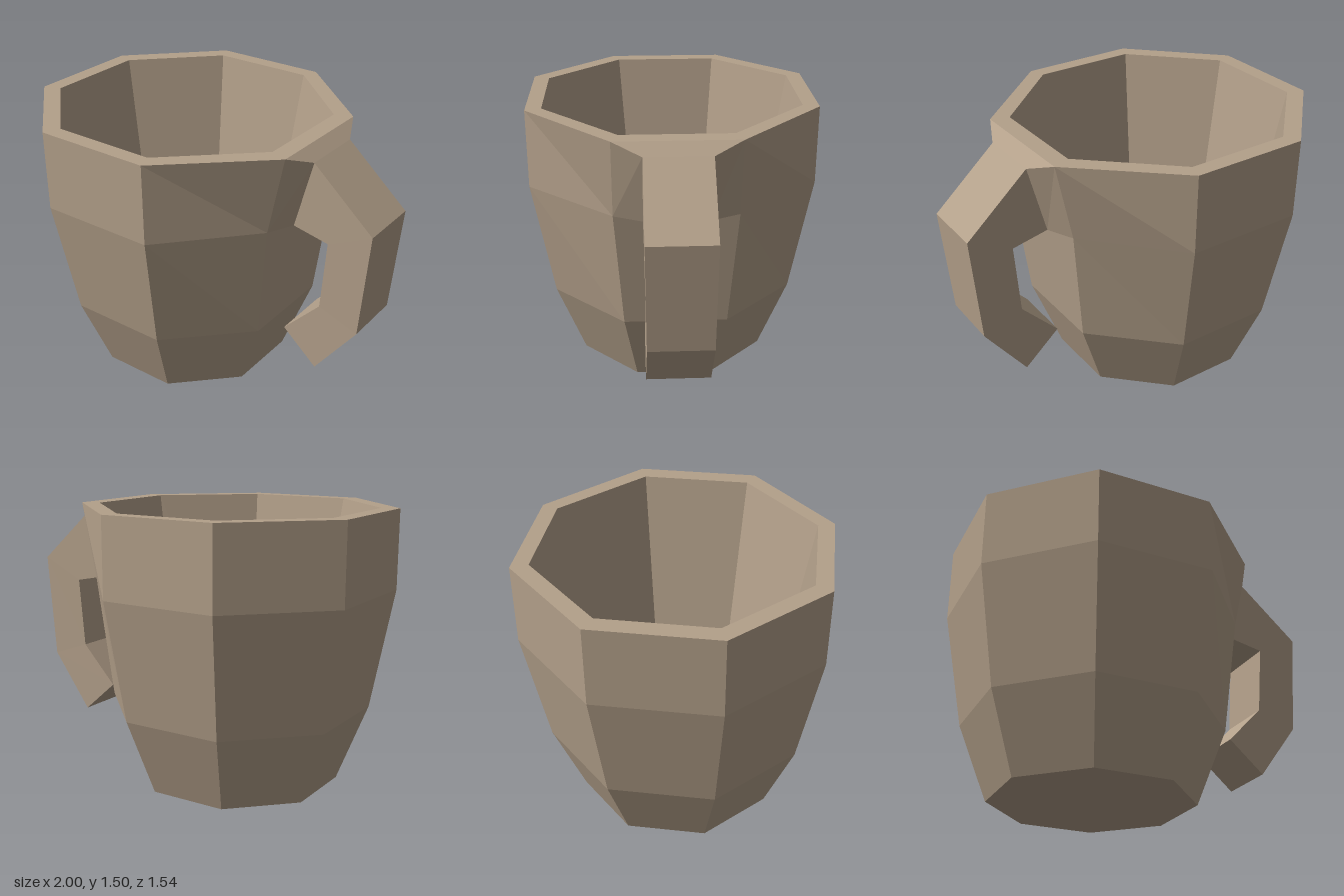
import * as THREE from 'three';

const clay = new THREE.MeshStandardMaterial({ color: 0xb3a08a });
clay.name = 'clay';
clay.flatShading = true;

// Faceted skin through a list of rings; quads listed in skip ("ring:side") stay open
function loft(name, rings, { capStart = false, capEnd = false, skip = [] } = {}) {
  const pos = [];
  const tri = (a, b, c) => pos.push(...a, ...b, ...c);
  const n = rings[0].length;
  for (let r = 0; r < rings.length - 1; r++) {
    for (let i = 0; i < n; i++) {
      if (skip.includes(`${r}:${i}`)) continue;
      const j = (i + 1) % n;
      const [a, b] = [rings[r], rings[r + 1]];
      tri(a[i], b[i], b[j]);
      tri(a[i], b[j], a[j]);
    }
  }
  const last = rings[rings.length - 1];
  for (let i = 1; i < n - 1; i++) {
    if (capStart) tri(rings[0][0], rings[0][i], rings[0][i + 1]);
    if (capEnd) tri(last[0], last[i + 1], last[i]);
  }
  const geo = new THREE.BufferGeometry();
  geo.setAttribute('position', new THREE.Float32BufferAttribute(pos, 3));
  geo.computeVertexNormals();
  const mesh = new THREE.Mesh(geo, clay);
  mesh.name = name;
  return mesh;
}

// Octagon: height, left x, right x, half depth, half edge, centre x
function octagon(y, left, right, d, s, cx) {
  return [
    [right, -s], [right, s], [cx + s, d], [cx - s, d],
    [left, s], [left, -s], [cx - s, -d], [cx + s, -d],
  ].map(([x, z]) => [x, y, z]);
}

// Handle section from its outer and inner side-view points and half width
function section([ox, oy], [ix, iy], w) {
  return [[ox, oy, w], [ox, oy, -w], [ix, iy, -w], [ix, iy, w]];
}

export function createModel() {
  const mug = new THREE.Group();
  mug.name = 'mug';

  // Outer wall, rim, inner wall and floor; the handle opening is left out
  mug.add(loft('cup', [
    octagon(0, -0.74, 0.28, 0.51, 0.21, -0.23),
    octagon(0.42, -0.89, 0.43, 0.66, 0.275, -0.23),
    octagon(1.07, -1, 0.5, 0.77, 0.32, -0.23),
    octagon(1.495, -1, 0.59, 0.77, 0.32, -0.23),
    octagon(1.495, -0.91, 0.495, 0.685, 0.285, -0.225),
    octagon(0.09, -0.68, 0.26, 0.455, 0.19, -0.225),
  ], { capStart: true, capEnd: true, skip: ['2:0'] }));

  // Handle grows from the flared collar and bends down
  mug.add(loft('handle', [
    section([0.59, 1.495], [0.5, 1.07], 0.32),
    section([0.66, 1.44], [0.56, 1.065], 0.17),
    section([1, 1.14], [0.76, 1.025], 0.17),
    section([0.955, 0.56], [0.73, 0.64], 0.165),
    section([0.725, 0.25], [0.525, 0.425], 0.168),
  ], { capEnd: true }));

  return mug;
}
